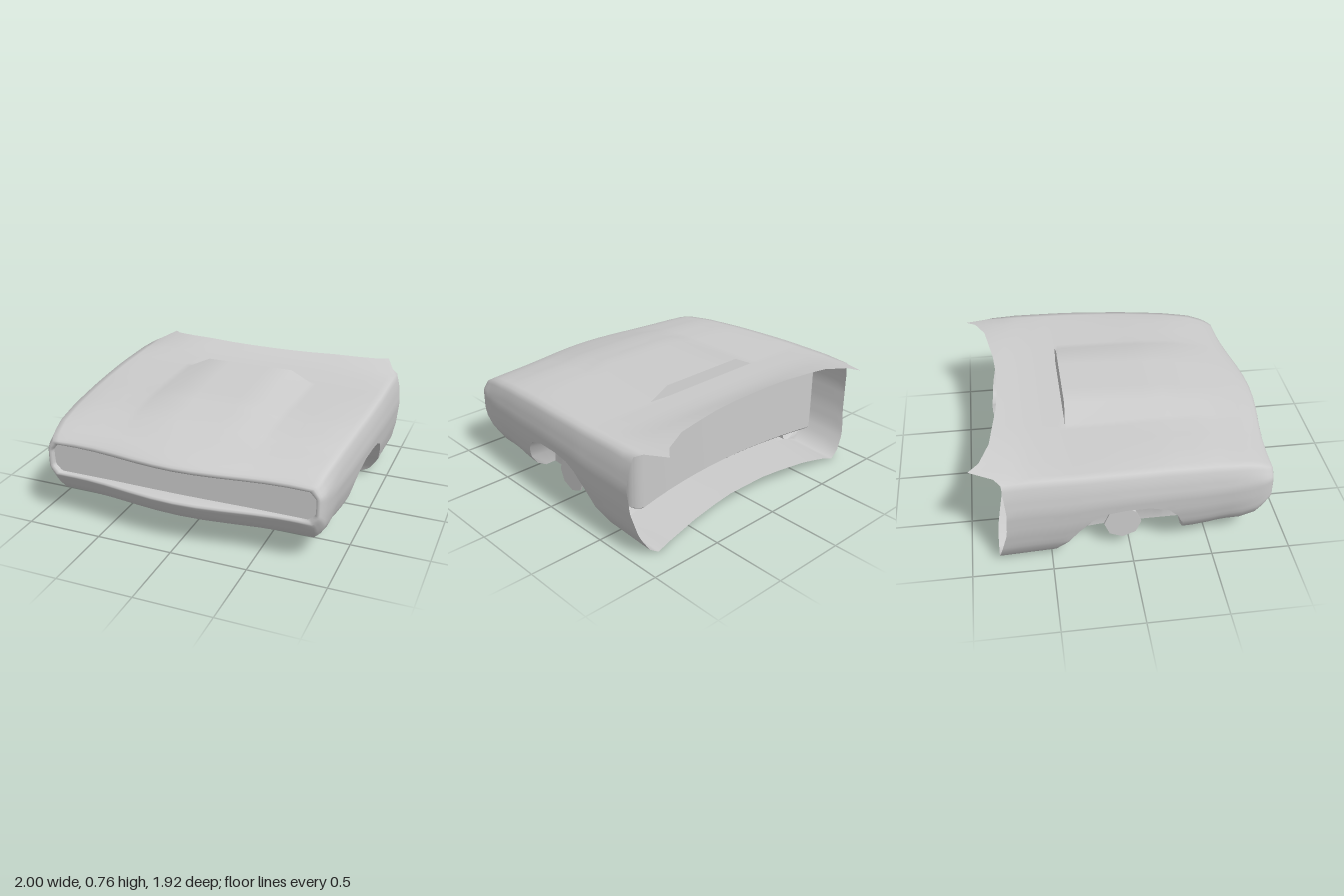
import * as THREE from 'three';
import { toCreasedNormals } from 'three/addons/utils/BufferGeometryUtils.js';

const material = new THREE.MeshStandardMaterial({ color: 0xcccccc, side: THREE.DoubleSide });

// Piecewise linear curve through [t, value] pairs
function curve(...pairs) {
  return t => {
    if (t <= pairs[0][0]) return pairs[0][1];
    for (let i = 1; i < pairs.length; i++) {
      const [a, va] = pairs[i - 1], [b, vb] = pairs[i];
      if (t <= b) return va + (vb - va) * (t - a) / (b - a);
    }
    return pairs[pairs.length - 1][1];
  };
}

// Body dimensions along its length (z)
const halfWidth = curve([-0.3, 1], [0, 0.99], [0.4, 0.965], [0.7, 0.94], [0.84, 0.92], [0.875, 0.9]);
const sillY = curve([-0.83, 0], [-0.42, 0.02], [-0.2, 0.07], [0, 0.09], [0.45, 0.092], [0.62, 0.115],
  [0.7, 0.135], [0.79, 0.185], [0.83, 0.24], [0.875, 0.31]);
const creaseY = curve([-0.83, 0.672], [-0.6, 0.685], [-0.2, 0.68], [0.2, 0.665], [0.5, 0.645],
  [0.7, 0.62], [0.8, 0.59], [0.875, 0.55]);
const hoodY = curve([-0.77, 0.748], [-0.7, 0.725], [-0.6, 0.705], [-0.36, 0.69], [0.25, 0.688],
  [0.5, 0.673], [0.74, 0.625], [0.83, 0.59], [0.875, 0.56]);
const scoopHeight = curve([-0.36, 0], [-0.35, 0.07], [0, 0.056], [0.25, 0.047], [0.5, 0.027], [0.75, 0]);
const noseBow = curve([0.45, 0], [0.8, 0.07], [0.875, 0.075]);
const noseBlend = curve([0.6, 0], [0.875, 1]);
const archY = curve([-0.475, 0], [-0.47, 0.04], [-0.46, 0.08], [-0.4, 0.17], [-0.33, 0.27], [-0.25, 0.36],
  [-0.17, 0.4], [-0.05, 0.415], [0.1, 0.41], [0.22, 0.37], [0.28, 0.3], [0.32, 0.2], [0.33, 0.09], [0.335, 0]);

// Side bulge from sill (0) to crease (1), for the fender and for the nose
const fenderShape = curve([0, 0.82], [0.05, 0.88], [0.22, 0.95], [0.45, 0.985], [0.69, 1], [0.88, 0.985], [1, 0.962]);
const noseShape = curve([0, 0.955], [0.22, 1], [0.78, 1], [1, 0.955]);
// Rear edge of the sides, the cowl and the floor
const sideEdge = curve([0, -0.83], [0.2, -0.81], [0.45, -0.77], [0.7, -0.76], [1, -0.78]);
const cowlEdge = curve([0, -0.77], [0.15, -0.772], [0.3, -0.782], [0.65, -0.835], [0.8, -0.9], [0.857, -0.965],
  [0.92, -0.815], [0.965, -0.78]);
const floorEdge = curve([0.15, -0.77], [0.65, -0.83]);

const SIDE_STEPS = 16, WELL_X = 0.72;
const TOP_STEPS = [0.955, 0.891, 0.83, 0.67, 0.52, 0.468, 0.32, 0.15, 0];

// One closed cross-section: floor, wheel well, side and hood, then mirrored
function section(z, o = {}) {
  const w = o.w ?? halfWidth(z), sill = o.sill ?? sillY(z), crease = o.crease ?? creaseY(z);
  const hood = o.hood ?? hoodY(z), bow = o.bow ?? noseBow(z), k = noseBlend(z);
  const floor = z < 0.45 ? 0.092 : sill;
  const half = [];
  const add = (x, y, zz = z) => {
    const c = Math.cos(Math.min(1, x / 0.74) * Math.PI / 2);
    half.push([x, y, zz + bow * c * c]);
  };
  const under = x => floor + (sill - floor) * (x / 0.82) ** 4;
  const arch = Math.max(sill, archY(z));

  for (const x of [0, 0.15, 0.3, 0.5, 0.63, WELL_X]) add(x, under(x), o.rear ? floorEdge(x) : z);
  // Inner wall and rounded roof of the wheel well
  const rise = Math.max(0, arch - under(WELL_X));
  add(WELL_X, under(WELL_X) + rise * 0.8, o.rear ? -0.83 : z);
  add(WELL_X + 0.05, under(WELL_X + 0.05) + rise * 0.95, o.rear ? -0.83 : z);

  const v0 = (arch - sill) / (crease - sill);
  let xc = 0;
  for (let i = 0; i <= SIDE_STEPS; i++) {
    const v = Math.max(v0, i / SIDE_STEPS);
    xc = w * (fenderShape(v) * (1 - k) + noseShape(v) * k);
    add(xc, sill + v * (crease - sill), o.rear ? sideEdge(v) : z);
  }
  for (const s of TOP_STEPS) {
    const x = s * xc;
    const scoop = scoopHeight(z) * THREE.MathUtils.clamp((0.45 - x) / 0.142, 0, 1);
    add(x, crease + (hood - crease) * (1 - s ** 6) + scoop, o.rear ? cowlEdge(x) : z);
  }
  const mirrored = half.slice(1, -1).reverse().map(([x, y, zz]) => [-x, y, zz]);
  return [...half, ...mirrored];
}

// Skin closed loops of equal length
function loft(loops) {
  const n = loops[0].length, index = [];
  for (let j = 0; j < loops.length - 1; j++) {
    for (let i = 0; i < n; i++) {
      const a = j * n + i, b = j * n + (i + 1) % n;
      index.push(a, b, a + n, b, b + n, a + n);
    }
  }
  const geometry = new THREE.BufferGeometry();
  geometry.setAttribute('position', new THREE.Float32BufferAttribute(loops.flat(2), 3));
  geometry.setIndex(index);
  return toCreasedNormals(geometry, 1.25);
}

function part(parent, name, geometry) {
  const mesh = new THREE.Mesh(geometry, material);
  mesh.name = name;
  parent.add(mesh);
  return mesh;
}

export function createModel() {
  const model = new THREE.Group();
  model.name = 'carFrontBody';

  // Fenders, hood, floor and wheel wells, from the cowl to the grille lip
  const stations = [-0.7, -0.6, -0.5, -0.475, -0.47, -0.46, -0.4, -0.36, -0.35, -0.33, -0.29, -0.25, -0.17,
    -0.11, -0.05, 0.03, 0.1, 0.16, 0.22, 0.28, 0.3, 0.32, 0.33, 0.335, 0.4, 0.5, 0.56, 0.62, 0.7, 0.75, 0.79, 0.83, 0.86];
  const loops = [
    section(-0.77, { rear: true, sill: 0 }),
    ...stations.map(z => section(z)),
    section(0.875),
    section(0.88, { w: 0.888, sill: 0.322, crease: 0.54, hood: 0.546, bow: 0.073 }),
    section(0.872, { w: 0.876, sill: 0.332, crease: 0.528, hood: 0.531, bow: 0.07 }),
    section(0.845, { w: 0.874, sill: 0.334, crease: 0.526, hood: 0.529, bow: 0.01 }),
  ];
  part(model, 'bodyShell', loft(loops));

  // Grille panel closing the nose opening
  const grille = new THREE.Shape();
  grille.moveTo(-0.84, 0.325).lineTo(0.84, 0.325).lineTo(0.88, 0.37).lineTo(0.88, 0.5)
    .lineTo(0.84, 0.54).lineTo(-0.84, 0.54).lineTo(-0.88, 0.5).lineTo(-0.88, 0.37).closePath();
  part(model, 'grillePanel', new THREE.ShapeGeometry(grille)).position.z = 0.848;

  // Firewall box with a concave rear face, chamfered ends and bevelled edges
  const plan = new THREE.Shape();
  plan.moveTo(-0.83, 0.45).lineTo(-0.83, 0.57).quadraticCurveTo(-0.82, 0.62, -0.77, 0.645)
    .quadraticCurveTo(0, 0.48, 0.77, 0.645)
    .quadraticCurveTo(0.82, 0.62, 0.83, 0.57).lineTo(0.83, 0.45).closePath();
  const box = new THREE.ExtrudeGeometry(plan, {
    depth: 0.42, bevelSize: 0.03, bevelOffset: -0.03, bevelThickness: 0.025, bevelSegments: 1, curveSegments: 12,
  });
  box.rotateX(-Math.PI / 2);
  box.translate(0, 0.2, 0);
  part(model, 'firewall', toCreasedNormals(box, 0.6));

  // Octagonal hubs on short axle stubs
  for (const side of [1, -1]) {
    const hub = new THREE.Group();
    hub.name = side > 0 ? 'leftHub' : 'rightHub';
    const disc = new THREE.CylinderGeometry(0.117, 0.117, 0.012, 8).rotateZ(Math.PI / 2);
    part(hub, 'hubDisc', toCreasedNormals(disc, 0.3));
    const stub = new THREE.CylinderGeometry(0.03, 0.03, 0.14, 8).rotateZ(Math.PI / 2).translate(-side * 0.07, 0, 0);
    part(hub, 'axleStub', stub);
    hub.position.set(side * 0.855, 0.205, -0.05);
    model.add(hub);
  }
  return model;
}
